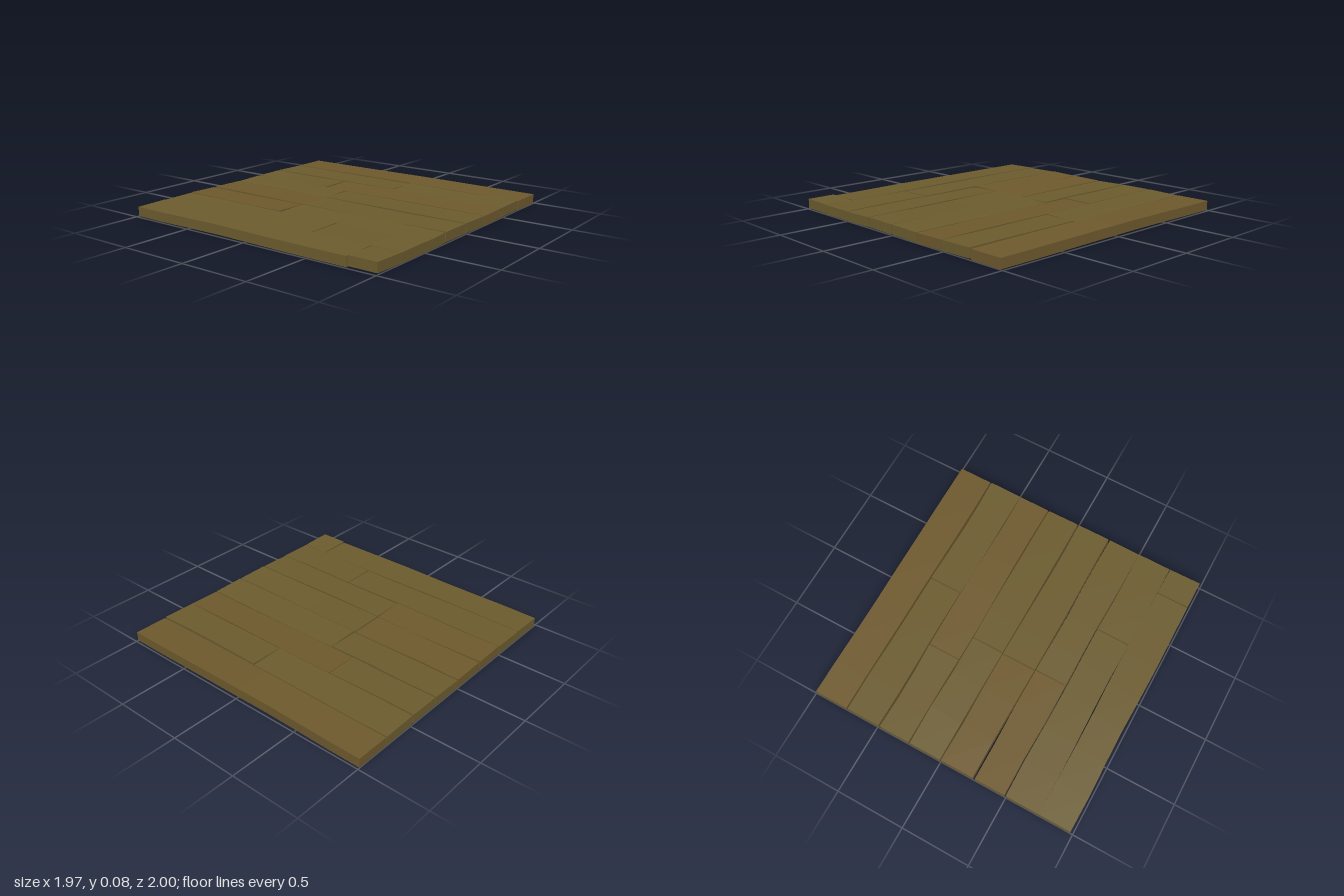
import * as THREE from 'three';

// Seams between boards, in thousandths: centre and gap width at seven even stations from back to front
const SEAMS = [
  { x: [-980, -985, -975, -984, -989, -986, -986], gap: [0, 0, 0, 0, 0, 0, 0] },
  { x: [-745, -749, -747, -740, -744, -748, -750], gap: [0, 2, 8, 8, 0, 0, 5] },
  { x: [-495, -491, -503, -497, -495, -504, -500], gap: [10, 8, 8, 9, 8, 8, 0] },
  { x: [-258, -257, -256, -261, -264, -257, -260], gap: [16, 16, 5, 9, 11, 8, 12] },
  { x: [-2, -5, 0, -3, -6, -9, -5], gap: [8, 14, 5, 6, 10, 14, 10] },
  { x: [241, 245, 236, 241, 245, 246, 244], gap: [10, 7, 14, 0, 8, 11, 8] },
  { x: [478, 472, 482, 485, 482, 478, 482], gap: [12, 15, 9, 6, 0, 11, 3] },
  { x: [735, 738, 731, 734, 729, 725, 734], gap: [10, 8, 13, 9, 14, 18, 12] },
  { x: [986, 985, 978, 982, 983, 986, 985], gap: [0, 0, 0, 0, 0, 0, 0] },
];
// Cross joint of each row (null = one full-length board)
const JOINTS = [0.79, 0.335, -0.14, -0.145, -0.14, -0.33, 0.11, null];
const BROWN = new Set(['2back', '3back', '5front', '7back']);

function sample(list, z) {
  const t = (z + 1) * 3;
  const i = Math.min(5, Math.max(0, Math.floor(t)));
  return THREE.MathUtils.lerp(list[i], list[i + 1], t - i) / 1000;
}

// Board edge on one side of a seam (side -1 or +1)
const edge = (seam, z, side) => sample(seam.x, z) + side * sample(seam.gap, z) / 2;

// A box bent to follow its two seams, with a slight bow and tilt
function plankGeometry(row, z0, z1, seed) {
  const segments = Math.max(1, Math.round((z1 - z0) * 4));
  const geo = new THREE.BoxGeometry(1, 0.066, 1, 1, 1, segments);
  const pos = geo.attributes.position;
  const roll = 0.003 * Math.sin(seed * 2.3);
  const bow = 0.002 * Math.sin(seed * 4.1);
  for (let i = 0; i < pos.count; i++) {
    const u = pos.getX(i) + 0.5;
    const v = pos.getZ(i) + 0.5;
    const z = THREE.MathUtils.lerp(z0, z1, v);
    const x = THREE.MathUtils.lerp(edge(SEAMS[row], z, 1), edge(SEAMS[row + 1], z, -1), u);
    const y = 0.042 + pos.getY(i) + roll * (u - 0.5) * 2 + bow * Math.cos(v * Math.PI * 2);
    pos.setXYZ(i, x, y, z);
  }
  geo.computeVertexNormals();
  return geo;
}

export function createModel() {
  const group = new THREE.Group();
  group.name = 'plankFloor';
  const olive = new THREE.MeshStandardMaterial({ color: 0x6b5b2e, flatShading: true });
  olive.name = 'oliveWood';
  const brown = new THREE.MeshStandardMaterial({ color: 0x6e592d, flatShading: true });
  brown.name = 'brownWood';

  const addPlank = (row, end, z0, z1) => {
    const seed = row * 2 + (end === 'front' ? 1 : 0) + 1;
    const mesh = new THREE.Mesh(plankGeometry(row, z0, z1, seed), BROWN.has(row + end) ? brown : olive);
    mesh.name = `${end}Plank${row + 1}`;
    group.add(mesh);
  };

  // Rows of boards from right (-x) to left (+x)
  JOINTS.forEach((joint, row) => {
    if (joint === null) {
      addPlank(row, 'back', -1, 1);
    } else {
      addPlank(row, 'back', -1, joint - 0.004);
      addPlank(row, 'front', joint + 0.004, 1);
    }
  });

  // Rest the lowest corner on the ground
  group.position.y = -new THREE.Box3().setFromObject(group).min.y;
  return group;
}
